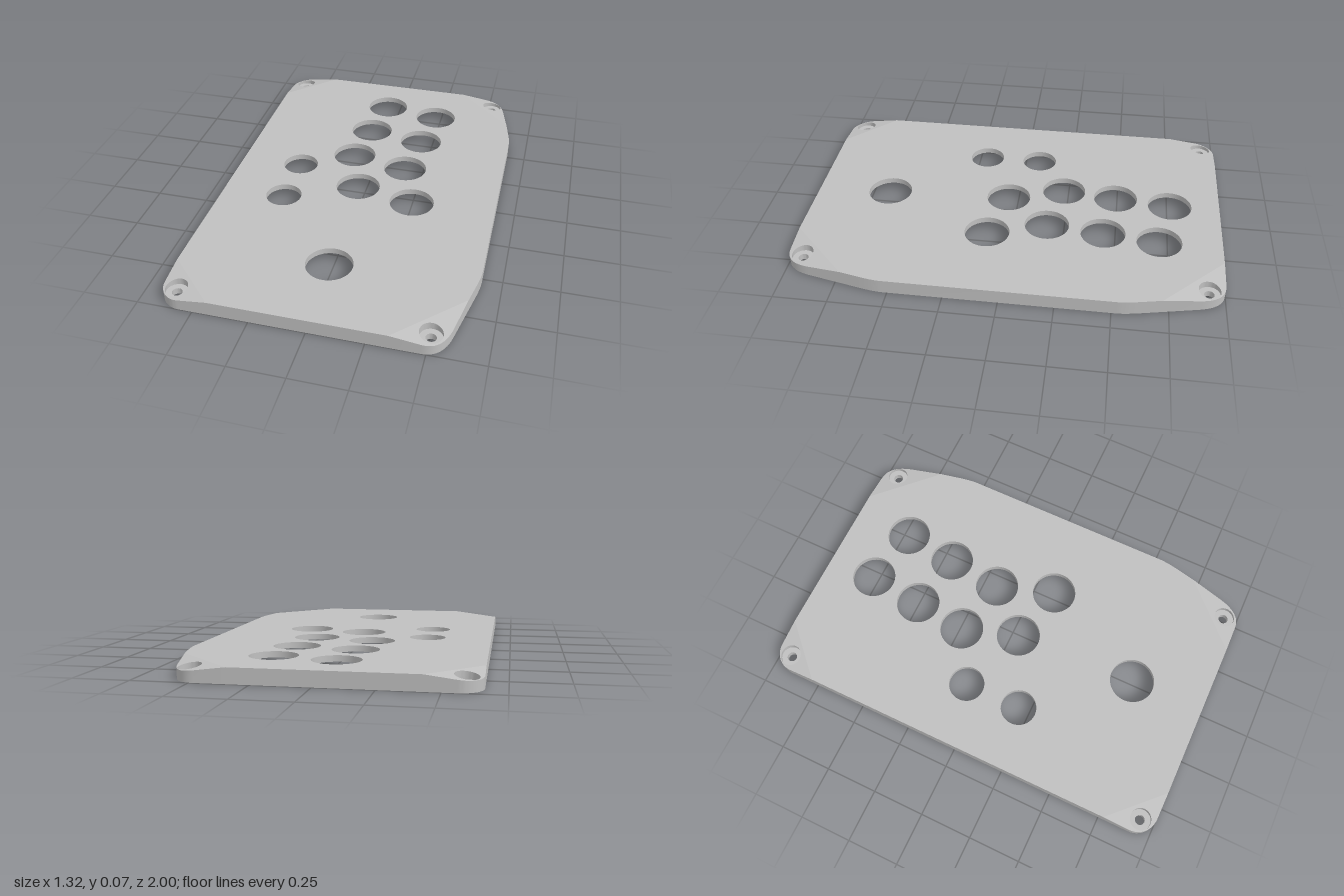
import * as THREE from 'three';
import { toCreasedNormals } from 'three/addons/utils/BufferGeometryUtils.js';

const TOP = 0.068, BORE = 0.04, SEAT = 0.03, SLOPE = 0.18;
const V = (x, z) => new THREE.Vector2(x, -z); // plan point, counter-clockwise seen from above

// Button holes: x, z, radius, radius of the recess underneath
const buttons = [
  [-0.05, -0.757], [0.233, -0.705], [-0.08, -0.49], [0.2, -0.44], [-0.11, -0.23],
  [0.17, -0.17], [-0.023, 0.04], [0.26, 0.107], [0, 0.64],
].map(([x, z]) => ({ c: V(x, z), r: 0.107, R: 0.18 }))
  .concat([[-0.357, -0.08], [-0.357, 0.198]].map(([x, z]) => ({ c: V(x, z), r: 0.086, R: 0.175 })));

const screws = [V(-0.593, -0.93), V(0.522, -0.926), V(-0.593, 0.93), V(0.508, 0.931)];

// Creases where the sloped corners begin
const creases = [[-1, 1, 1.43], [1, 1, 1.345], [-1, -1, 1.43], [1, -1, 1.345]];
const beyond = (p, [a, b, c]) => (a * p.x + b * p.y - c) / Math.SQRT2;
const topY = (p) => TOP - SLOPE * Math.max(0, ...creases.map((k) => beyond(p, k)));

function circle(c, r, n = 56) {
  return Array.from({ length: n }, (_, i) => {
    const a = (i / n) * Math.PI * 2;
    return new THREE.Vector2(c.x + r * Math.cos(a), c.y + r * Math.sin(a));
  });
}

// Plate outline, with extra points where the creases cross it
function plateOutline() {
  const s = new THREE.Shape();
  s.moveTo(-0.56, -1);
  s.lineTo(0.48, -1);
  s.quadraticCurveTo(0.567, -1, 0.592, -0.88);
  s.lineTo(0.645, -0.63);
  s.quadraticCurveTo(0.66, -0.56, 0.66, -0.52);
  s.lineTo(0.66, 0.52);
  s.quadraticCurveTo(0.66, 0.56, 0.645, 0.63);
  s.lineTo(0.592, 0.88);
  s.quadraticCurveTo(0.567, 1, 0.48, 1);
  s.lineTo(-0.56, 1);
  s.absarc(-0.56, 0.9, 0.1, Math.PI / 2, Math.PI, false);
  s.lineTo(-0.66, -0.9);
  s.absarc(-0.56, -0.9, 0.1, Math.PI, Math.PI * 1.5, false);
  let pts = s.getPoints(12);
  pts = pts.filter((p, i) => p.distanceTo(pts[(i + 1) % pts.length]) > 1e-5);
  for (const k of creases) {
    pts = pts.flatMap((p, i) => {
      const q = pts[(i + 1) % pts.length], d = beyond(p, k), e = beyond(q, k);
      return d * e < -1e-10 ? [p, p.clone().lerp(q, d / (d - e))] : [p];
    });
  }
  return pts;
}

// Outlines of the merged recesses: outer loops run counter-clockwise, leftover islands clockwise
function mergedRecesses() {
  const arcs = [];
  buttons.forEach(({ c, R }, i) => {
    const others = buttons.filter((o, j) => j !== i && o.c.distanceTo(c) < o.R + R);
    const cuts = others.flatMap((o) => {
      const d = o.c.distanceTo(c), base = Math.atan2(o.c.y - c.y, o.c.x - c.x);
      const h = Math.acos((d * d + R * R - o.R * o.R) / (2 * d * R));
      return [base - h, base + h].map((a) => THREE.MathUtils.euclideanModulo(a, Math.PI * 2));
    }).sort((a, b) => a - b);
    if (!cuts.length) cuts.push(0);
    cuts.forEach((a, k) => {
      const b = k + 1 < cuts.length ? cuts[k + 1] : cuts[0] + Math.PI * 2;
      const at = (t) => new THREE.Vector2(c.x + R * Math.cos(t), c.y + R * Math.sin(t));
      if (others.some((o) => o.c.distanceTo(at((a + b) / 2)) < o.R)) return;
      const n = Math.max(2, Math.ceil((b - a) / 0.11));
      arcs.push(Array.from({ length: n + 1 }, (_, m) => at(a + ((b - a) * m) / n)));
    });
  });
  const loops = [];
  while (arcs.length) {
    const loop = arcs.pop();
    while (loop[0].distanceTo(loop[loop.length - 1]) > 1e-6) {
      const next = arcs.findIndex((a) => a[0].distanceTo(loop[loop.length - 1]) < 1e-6);
      if (next < 0) break;
      loop.push(...arcs.splice(next, 1)[0].slice(1));
    }
    loop.pop();
    loops.push(loop);
  }
  return loops;
}

function inside(p, loop) {
  let hit = false;
  loop.forEach((a, i) => {
    const b = loop[(i + 1) % loop.length];
    if ((a.y > p.y) !== (b.y > p.y) && p.x < a.x + ((p.y - a.y) * (b.x - a.x)) / (b.y - a.y)) hit = !hit;
  });
  return hit;
}

// Flat or sloped face with holes, at height y (number or rule)
function face(loop, holes, y, down = false) {
  const shape = new THREE.Shape(loop);
  shape.holes = holes.map((h) => new THREE.Path(h));
  const g = new THREE.ShapeGeometry(shape);
  const pos = g.attributes.position;
  for (let i = 0; i < pos.count; i++) {
    const p = new THREE.Vector2(pos.getX(i), pos.getY(i));
    pos.setXYZ(i, p.x, typeof y === 'function' ? y(p) : y, -p.y);
  }
  if (down) g.index.array.reverse();
  return g;
}

// Upright wall along a closed loop; hole = true makes it face inward
function wall(loop, y0, y1, hole = false) {
  const pts = hole ? [...loop].reverse() : loop;
  const pos = [], idx = [], n = pts.length;
  pts.forEach((p, i) => {
    pos.push(p.x, y0, -p.y, p.x, typeof y1 === 'function' ? y1(p) : y1, -p.y);
    const a = 2 * i, b = 2 * ((i + 1) % n);
    idx.push(a, b, b + 1, a, b + 1, a + 1);
  });
  const g = new THREE.BufferGeometry();
  g.setAttribute('position', new THREE.Float32BufferAttribute(pos, 3));
  g.setIndex(idx);
  return g;
}

export function createModel() {
  const model = new THREE.Group();
  model.name = 'controllerTopPlate';
  const grey = new THREE.MeshStandardMaterial({ color: 0xc0c0c0 });
  grey.name = 'plate grey';
  const add = (name, geometry) => {
    const g = toCreasedNormals(geometry, 0.5);
    const mesh = new THREE.Mesh(g, grey);
    mesh.name = name;
    model.add(mesh);
  };

  const outline = plateOutline();
  const buttonLoops = buttons.map((b) => circle(b.c, b.r));
  const boreLoops = screws.map((c) => circle(c, 0.023, 32));
  const recessLoops = screws.map((c) => circle(c, 0.05, 40));
  const loops = mergedRecesses();
  const outer = loops.filter((l) => THREE.ShapeUtils.area(l) > 0);
  const islands = loops.filter((l) => THREE.ShapeUtils.area(l) < 0);

  // Plate top, rim and underside
  const flat = outline.filter((p) => creases.every((k) => beyond(p, k) < 1e-6));
  add('topFace', face(flat, buttonLoops, TOP));
  add('rim', wall(outline, 0, topY));
  add('underside', face(outline, [...outer, ...boreLoops], 0, true));

  // Sloped corners with sunken screw seats
  creases.forEach((k, i) => {
    add('cornerSlope', face(outline.filter((p) => beyond(p, k) > -1e-6), [recessLoops[i]], topY));
    add('screwRecessWall', wall(recessLoops[i], SEAT, topY, true));
    add('screwSeat', face(recessLoops[i], [boreLoops[i]], SEAT));
    add('screwHole', wall(boreLoops[i], 0, SEAT, true));
  });

  // Button holes and the merged recesses beneath them
  buttonLoops.forEach((l) => add('buttonHole', wall(l, BORE, TOP, true)));
  loops.forEach((l) => add('recessWall', wall(l, 0, BORE, true)));
  islands.forEach((l) => add('recessIsland', face(l, [], 0, true)));
  outer.forEach((l) => {
    const holes = buttonLoops.filter((_, i) => inside(buttons[i].c, l));
    add('recessCeiling', face(l, [...holes, ...islands.filter((s) => inside(s[0], l))], BORE, true));
  });
  return model;
}
